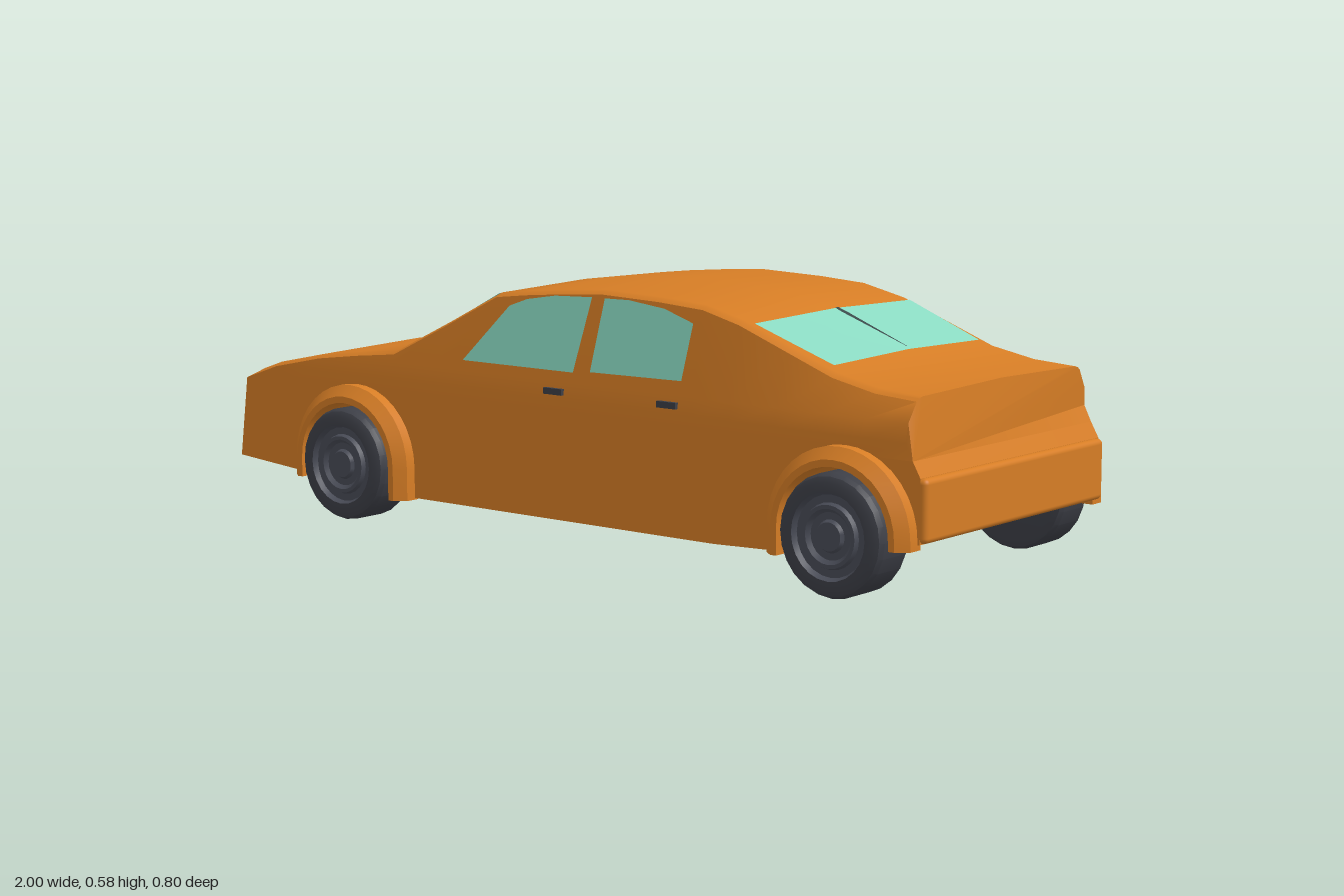
import * as THREE from 'three';
import { toCreasedNormals } from 'three/addons/utils/BufferGeometryUtils.js';
import { RoundedBoxGeometry } from 'three/addons/geometries/RoundedBoxGeometry.js';

const { lerp, clamp } = THREE.MathUtils;
const mat = (name, color, side = THREE.FrontSide) => new THREE.MeshStandardMaterial({ name, color, side });

// Roof line of the car, nose at -x, tail at +x
const TOP = [[-0.961, 0.306], [-0.92, 0.325], [-0.86, 0.346], [-0.72, 0.376], [-0.6, 0.392], [-0.48, 0.405],
  [-0.33, 0.48], [-0.185, 0.556], [-0.1, 0.566], [0.0, 0.575], [0.12, 0.583], [0.28, 0.578], [0.4, 0.57],
  [0.5, 0.546], [0.62, 0.501], [0.74, 0.456], [0.85, 0.434], [0.954, 0.427]];
const BASE = 0.295; // height where the upper shell meets the lower body
const WHEEL_Y = 0.132;
const AXLES = [
  { x: -0.59, left: 0.085, right: 0.06, name: 'front' },
  { x: 0.80, left: 0.072, right: 0.115, name: 'rear' },
];

function topAt(x) {
  let i = 0;
  while (i < TOP.length - 2 && x > TOP[i + 1][0]) i++;
  const [a, b] = [TOP[i], TOP[i + 1]];
  return lerp(a[1], b[1], (x - a[0]) / (b[0] - a[0]));
}

// Half width of the side wall at a height: upright below, leaning in above
const halfWidth = (y) => (y < 0.33 ? 0.34 : y < 0.37 ? lerp(0.34, 0.335, (y - 0.33) / 0.04)
  : lerp(0.335, 0.303, (y - 0.37) / 0.18));
const tailInset = (x) => 0.018 * clamp((x - 0.5) / 0.24, 0, 1);
const crownZ = (x) => halfWidth(topAt(x) - 0.012) - tailInset(x) - 0.018;
const crownY = (x, z) => topAt(x) - 0.007 * Math.abs(z) / crownZ(x);

// Closed skin through rings of points, capped at both ends
function loft(rings, crease = 0.45) {
  const p = [], n = rings[0].length;
  const tri = (...v) => v.forEach((q) => p.push(...q));
  for (let i = 0; i < rings.length - 1; i++) {
    for (let j = 0; j < n; j++) {
      const k = (j + 1) % n, A = rings[i], B = rings[i + 1];
      tri(A[j], B[j], B[k]);
      tri(A[j], B[k], A[k]);
    }
  }
  const first = rings[0], last = rings[rings.length - 1];
  for (let j = 1; j < n - 1; j++) {
    tri(first[0], first[j], first[j + 1]);
    tri(last[0], last[j + 1], last[j]);
  }
  const g = new THREE.BufferGeometry();
  g.setAttribute('position', new THREE.Float32BufferAttribute(p, 3));
  return toCreasedNormals(g, crease);
}

// Bonnet, cabin and boot as one shell
function upperShell() {
  const tailX = (y) => (y < 0.325 ? lerp(0.966, 0.948, (y - BASE) / 0.03) : lerp(0.948, 0.954, (y - 0.325) / 0.1));
  const rings = TOP.map(([x, t], i) => {
    const shoulder = t - 0.016;
    const half = [BASE, Math.min(0.33, shoulder), Math.min(0.37, shoulder), shoulder]
      .map((y) => Math.max(BASE, y))
      .map((y, k) => [halfWidth(y) - (k === 3 ? tailInset(x) : 0), y]);
    half.push([crownZ(x) + 0.01, t - 0.01], [crownZ(x), t - 0.007]);
    const place = (z, y) => [i === TOP.length - 1 ? tailX(y) : x, y, z];
    return [...half.map(([z, y]) => place(z, y)), place(0, t), ...half.reverse().map(([z, y]) => place(-z, y))];
  });
  return loft(rings);
}

// Side profile of the lower body, with or without wheel openings
function lowerBody(z0, z1, openings) {
  const s = new THREE.Shape();
  s.moveTo(-0.985, 0.105);
  AXLES.forEach(({ x, left, right }) => {
    s.lineTo(x - 0.148, left);
    if (openings) {
      s.lineTo(x - 0.148, WHEEL_Y);
      s.absarc(x, WHEEL_Y, 0.148, Math.PI, 0, true);
    }
    s.lineTo(x + 0.148, right + 0.004);
    if (x < 0) s.lineTo(0.46, 0.065);
  });
  s.lineTo(0.985, 0.127);
  s.lineTo(0.985, 0.262);
  s.lineTo(0.966, BASE);
  s.lineTo(-0.961, BASE);
  const g = new THREE.ExtrudeGeometry(s, { depth: z1 - z0, bevelEnabled: false, curveSegments: 16 });
  return toCreasedNormals(g.translate(0, 0, z0), 0.45);
}

// Flared arch: a chamfered profile swept up, around the wheel and down
function archFlare({ x, left, right }, side) {
  const profile = [[0.18, 0.33], [0.18, 0.365], [0.155, 0.386], [0.14, 0.386], [0.14, 0.33]];
  if (side > 0) profile.reverse();
  const rings = [profile.map(([r, z]) => [x - r, left, z * side])];
  for (let i = 0; i <= 18; i++) {
    const a = Math.PI * (1 - i / 18);
    rings.push(profile.map(([r, z]) => [x + r * Math.cos(a), WHEEL_Y + r * Math.sin(a), z * side]));
  }
  rings.push(profile.map(([r, z]) => [x + r, right, z * side]));
  return loft(rings);
}

// Thin pane lying just above the roof skin; rows are [x, half width]
function roofPane(rows, lift) {
  const p = [], idx = [];
  rows.forEach(([x, w], i) => {
    [w, 0, -w].forEach((z) => p.push(x, crownY(x, z) + lift, z));
    if (i) [0, 1].forEach((j) => {
      const a = (i - 1) * 3 + j, b = a + 3;
      idx.push(a, b, b + 1, a, b + 1, a + 1);
    });
  });
  const g = new THREE.BufferGeometry();
  g.setAttribute('position', new THREE.Float32BufferAttribute(p, 3));
  g.setIndex(idx);
  g.computeVertexNormals();
  return g;
}

// Side window leaning with the door wall
function sidePane(points, side) {
  const g = new THREE.ShapeGeometry(new THREE.Shape(points.map(([x, y]) => new THREE.Vector2(x, y))));
  const pos = g.attributes.position;
  for (let i = 0; i < pos.count; i++) pos.setZ(i, side * (halfWidth(pos.getY(i)) + 0.004));
  if (side < 0) g.setIndex([...g.index.array].reverse());
  g.computeVertexNormals();
  return g;
}

const lathe = (pts, n) => toCreasedNormals(new THREE.LatheGeometry(pts.map(([r, h]) => new THREE.Vector2(r, h)), n), 0.5);

export function createModel() {
  const paint = mat('orange paint', 0xd67d25, THREE.DoubleSide);
  const glass = mat('green glass', 0x8ad9c1, THREE.DoubleSide);
  const rubber = mat('dark rubber', 0x3d3f47);
  const metal = mat('dark metal', 0x484b56);
  const trim = mat('dark trim', 0x3a4a4a, THREE.DoubleSide);

  const car = new THREE.Group();
  car.name = 'car';
  const add = (name, geometry, material, parent = car) => {
    const m = new THREE.Mesh(geometry, material);
    m.name = name;
    parent.add(m);
    return m;
  };

  // Body
  add('upperShell', upperShell(), paint);
  add('floorSection', lowerBody(-0.18, 0.18, false), paint);
  add('rearBumper', new RoundedBoxGeometry(0.04, 0.133, 0.68, 3, 0.012), paint).position.set(0.98, 0.195, 0);

  // Front and rear screens with the rear wiper
  add('windscreen', roofPane([[-0.455, 0.283], [-0.33, 0.281], [-0.2, 0.279]], 0.004), glass);
  add('rearWindow', roofPane([[0.525, 0.285], [0.62, 0.278], [0.72, 0.27]], 0.004), glass);
  add('rearWiper', roofPane([[0.53, 0.006], [0.55, 0.008], [0.715, 0.001]], 0.008), trim);

  const frontPane = [[-0.262, 0.395], [0.065, 0.395], [0.096, 0.56], [-0.01, 0.556], [-0.09, 0.543], [-0.14, 0.525]];
  const rearPane = [[0.113, 0.4], [0.367, 0.403], [0.382, 0.525], [0.3, 0.55], [0.2, 0.561], [0.132, 0.56]];
  const tyre = [[0, -0.055], [0.108, -0.057], [0.124, -0.051], [0.13, -0.04], [0.13, 0.04], [0.124, 0.051],
    [0.112, 0.057], [0.092, 0.057]];
  const rim = [[0.092, 0.057], [0.086, 0.045], [0.07, 0.045], [0.066, 0.055], [0.058, 0.055], [0.05, 0.046],
    [0.035, 0.046], [0.03, 0.054], [0, 0.054]];
  const lampRing = [[0.034, 0], [0.045, 0], [0.045, 0.03], [0.034, 0.03], [0.034, 0]];

  for (const side of [1, -1]) {
    const label = side > 0 ? 'left' : 'right';
    add(`${label}LowerSide`, side > 0 ? lowerBody(0.18, 0.34, true) : lowerBody(-0.34, -0.18, true), paint);
    add(`${label}FrontSideWindow`, sidePane(frontPane, side), glass);
    add(`${label}RearSideWindow`, sidePane(rearPane, side), glass);

    // Door handles and headlight rings
    for (const x of [0.015, 0.335]) {
      add(`${label}DoorHandle`, new THREE.BoxGeometry(0.052, 0.014, 0.016), rubber).position.set(x, 0.35, side * 0.338);
    }
    const lamp = add(`${label}HeadlightRing`, lathe(lampRing, 20), metal);
    lamp.rotation.z = Math.PI / 2;
    lamp.position.set(-0.97, 0.208, side * 0.243);

    // Arches and wheels
    for (const axle of AXLES) {
      add(`${axle.name}ArchFlare`, archFlare(axle, side), paint);
      const wheel = new THREE.Group();
      wheel.name = `${axle.name}Wheel`;
      add('tyre', lathe(tyre, 24), rubber, wheel);
      add('rim', lathe(rim, 24), metal, wheel);
      wheel.rotation.x = side * Math.PI / 2;
      wheel.position.set(axle.x, 0.13, side * 0.342);
      car.add(wheel);
    }
  }
  return car;
}
